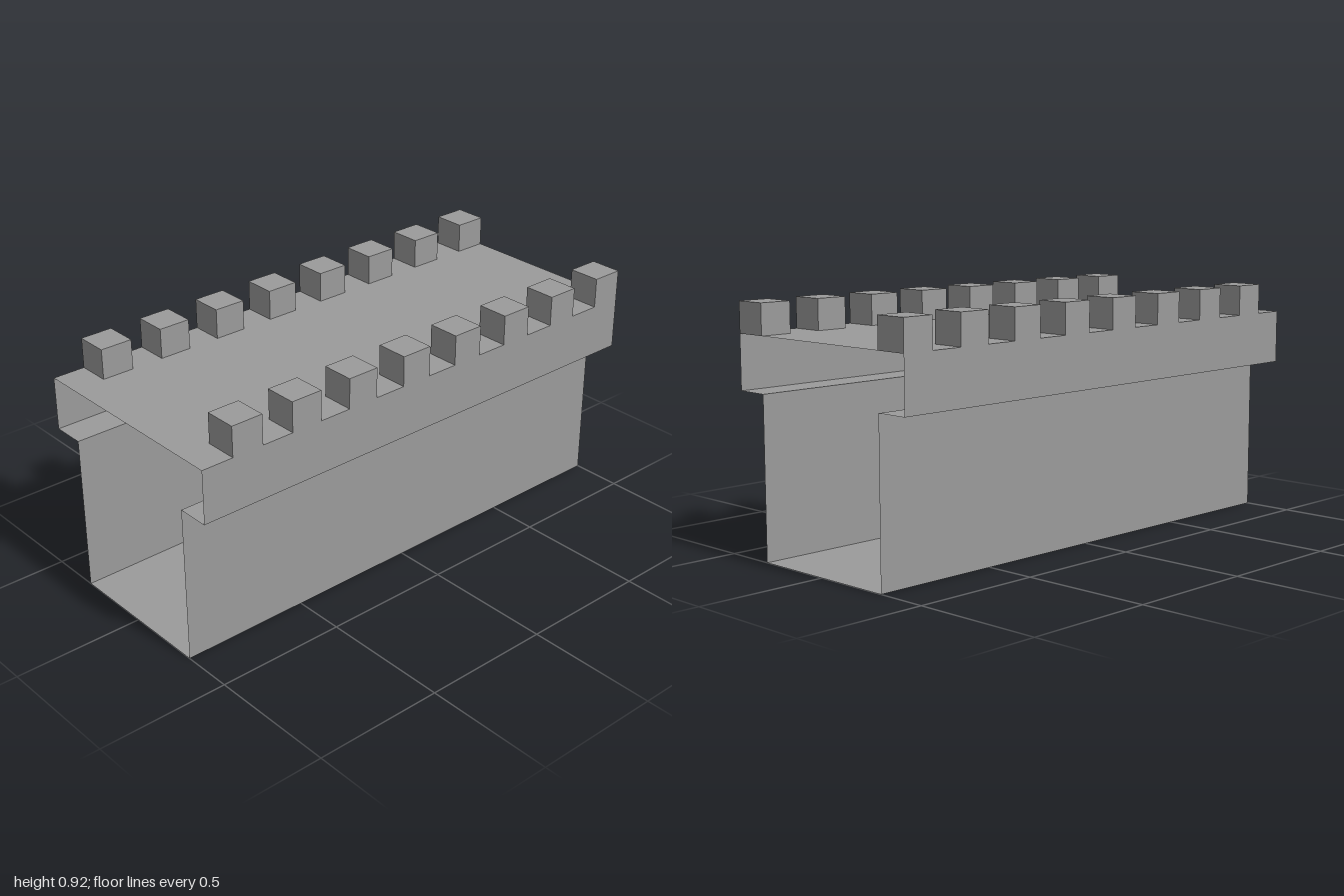
import * as THREE from 'three';

const INNER = 0.305;   // half width of the lower channel
const OUTER = 0.43;    // half width of the parapet
const LEDGE_Y = 0.6, ROOF_Y = 0.803, TOP_Y = 0.918;
const COUNT = 8, TOOTH = 0.125;

// Dark stone grey
const material = new THREE.MeshStandardMaterial({ color: 0x9b9b9b, flatShading: true, side: THREE.DoubleSide });

function add(parent, geometry, name) {
  const mesh = new THREE.Mesh(geometry, material);
  mesh.name = name;
  parent.add(mesh);
  return mesh;
}

// Thin sheet running the full length, between two points of the cross-section
function sheet(parent, name, z0, y0, z1, y1) {
  const geometry = new THREE.PlaneGeometry(2, Math.hypot(z1 - z0, y1 - y0));
  geometry.rotateX(Math.atan2(z1 - z0, y1 - y0));
  geometry.translate(0, (y0 + y1) / 2, (z0 + z1) / 2);
  return add(parent, geometry, name);
}

// Left edge of each battlement block
const toothX = (i) => -1 + TOOTH + i * 2 * TOOTH;

// Deck with a notch under every hollow battlement block
function deckGeometry() {
  const points = [];
  for (let i = 0; i < COUNT; i++) {
    const x = toothX(i);
    points.push([x - TOOTH, OUTER], [x, OUTER], [x, INNER], [x + TOOTH, INNER]);
  }
  const near = points.map(([x, z]) => new THREE.Vector2(x, -z));
  const far = points.map(([x, z]) => new THREE.Vector2(x, z)).reverse();
  const geometry = new THREE.ShapeGeometry(new THREE.Shape([...near, ...far]));
  geometry.rotateX(-Math.PI / 2);
  geometry.translate(0, ROOF_Y, 0);
  return geometry;
}

// Block left open underneath
function battlementGeometry() {
  const geometry = new THREE.BoxGeometry(TOOTH, TOP_Y - ROOF_Y, OUTER - INNER);
  const index = Array.from(geometry.index.array);
  index.splice(18, 6); // bottom face
  geometry.setIndex(index);
  geometry.clearGroups();
  return geometry;
}

export function createModel() {
  const model = new THREE.Group();
  model.name = 'battlementWall';

  sheet(model, 'floor', INNER, 0, -INNER, 0);
  add(model, deckGeometry(), 'deck');

  const block = battlementGeometry();
  for (const [side, s] of [['front', 1], ['back', -1]]) {
    // Wall, overhang and parapet band
    sheet(model, side + 'Wall', s * INNER, 0, s * INNER, LEDGE_Y);
    sheet(model, side + 'Overhang', s * INNER, LEDGE_Y, s * OUTER, LEDGE_Y);
    sheet(model, side + 'Parapet', s * OUTER, LEDGE_Y, s * OUTER, ROOF_Y);

    // Row of battlement blocks
    const row = new THREE.Group();
    row.name = side + 'Battlements';
    for (let i = 0; i < COUNT; i++) {
      add(row, block, 'battlement').position.set(
        toothX(i) + TOOTH / 2, (ROOF_Y + TOP_Y) / 2, s * (INNER + OUTER) / 2);
    }
    model.add(row);
  }
  return model;
}
